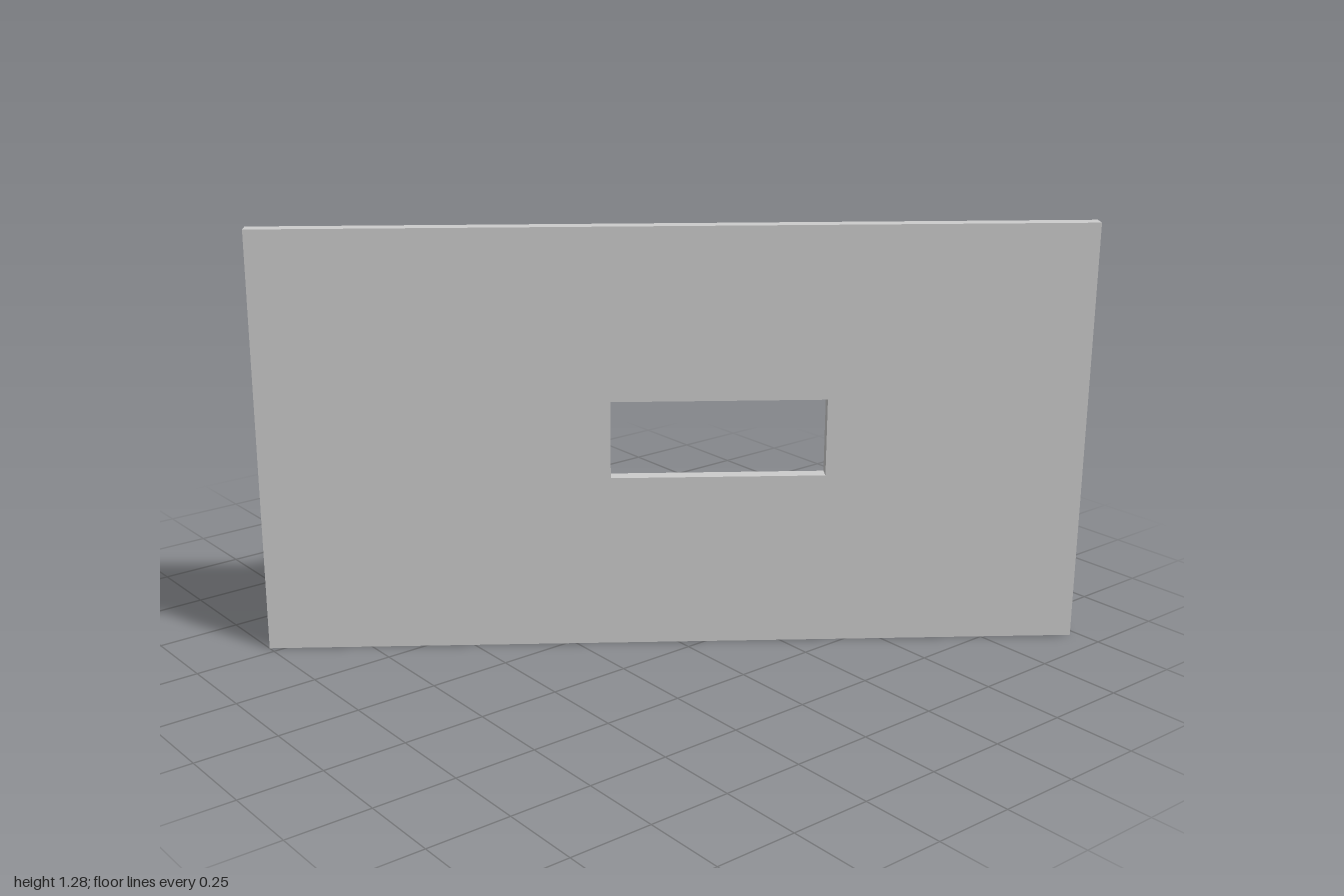
import * as THREE from 'three';

const TABLE_Y = 0.543;
const WALL = { length: 2.444, height: 1.285, depth: 0.043 };

export function createModel() {
  const model = new THREE.Group();
  const grey = new THREE.MeshStandardMaterial({ color: 0xcccccc, side: THREE.DoubleSide });
  grey.name = 'plain grey';

  // Everything is laid out along the wall, then turned with it
  const room = new THREE.Group();
  room.name = 'wallAndShelf';
  room.rotation.y = -0.6304;
  room.position.z = 0.175;
  model.add(room);

  const add = (name, geometry, x, y, z, parent = room) => {
    const mesh = new THREE.Mesh(geometry, grey);
    mesh.name = name;
    mesh.position.set(x, y, z);
    parent.add(mesh);
    return mesh;
  };
  const lathe = (points, sides = 32) =>
    new THREE.LatheGeometry(points.map(([r, y]) => new THREE.Vector2(r, y)), sides);
  const tube = (points, radius, segments = 24) =>
    new THREE.TubeGeometry(
      new THREE.CatmullRomCurve3(points.map((p) => new THREE.Vector3(...p))), segments, radius, 8);

  // Open-topped vessel with sharp rims: outer wall, rim, inner wall and floors
  const vessel = (name, r, h, t, x, z) => {
    const group = new THREE.Group();
    group.name = name;
    group.position.set(x, TABLE_Y + 0.001, z);
    room.add(group);
    add(name + 'Outside', lathe([[r, 0], [r, h]]), 0, 0, 0, group);
    add(name + 'Rim', lathe([[r, h], [r - t, h]]), 0, 0, 0, group);
    add(name + 'Inside', lathe([[r - t, h], [r - t, t]]), 0, 0, 0, group);
    add(name + 'Floor', lathe([[r - t, t], [0, t]]), 0, 0, 0, group);
    add(name + 'Base', lathe([[0, 0], [r, 0]]), 0, 0, 0, group);
    return group;
  };

  // Wall with a window opening
  const outline = new THREE.Shape();
  const w = WALL.length / 2;
  outline.moveTo(-w, 0).lineTo(w, 0).lineTo(w, WALL.height).lineTo(-w, WALL.height).closePath();
  const opening = new THREE.Path();
  opening.moveTo(-0.188, 0.53).lineTo(-0.188, 0.765).lineTo(0.45, 0.765).lineTo(0.45, 0.53).closePath();
  outline.holes.push(opening);
  add('wall', new THREE.ExtrudeGeometry(outline, { depth: WALL.depth, bevelEnabled: false }),
    0, 0, -WALL.depth / 2);

  // Thin table top behind the wall
  const top = new THREE.PlaneGeometry(0.716, 0.617).rotateX(-Math.PI / 2);
  add('tableTop', top, -0.621, TABLE_Y, -0.3365);

  // Mug and its handle
  const mug = vessel('mug', 0.039, 0.112, 0.004, -0.59, -0.415);
  const handle = add('mugHandle', tube([
    [0.036, 0.094, 0], [0.058, 0.099, 0], [0.077, 0.085, 0],
    [0.076, 0.058, 0], [0.06, 0.036, 0], [0.036, 0.026, 0],
  ], 0.0055), 0, 0, 0, mug);
  handle.rotation.y = Math.atan2(0.08, 0.022);

  // Small cup
  vessel('cup', 0.0235, 0.08, 0.003, -0.656, -0.26);

  // Spoon lying on the table: handle along local x, bowl at the far end
  const spoon = new THREE.Group();
  spoon.name = 'spoon';
  spoon.position.set(-0.757, TABLE_Y, -0.181);
  spoon.rotation.y = Math.atan2(0.219, 0.038);
  room.add(spoon);
  add('spoonHandle', tube([
    [0, 0.003, 0], [0.04, 0.004, 0], [0.11, 0.01, 0], [0.165, 0.009, 0], [0.197, 0.008, 0],
  ], 0.004).scale(1, 0.6, 1), 0, 0, 0, spoon);
  const bowl = new THREE.SphereGeometry(1, 20, 8, 0, Math.PI * 2, Math.PI / 2, Math.PI / 2);
  add('spoonBowl', bowl.scale(0.028, 0.009, 0.017), 0.222, 0.01, 0, spoon);

  // Wall candle holder: plate, curved arm, drip dish and candle
  const sconce = new THREE.Group();
  sconce.name = 'candleHolder';
  sconce.position.set(-0.716, 0, 0);
  room.add(sconce);
  add('wallPlate', new THREE.BoxGeometry(0.036, 0.018, 0.007), 0, 0.586, -0.025, sconce);
  add('arm', tube([[0, 0.586, -0.025], [0, 0.58, -0.045], [0, 0.583, -0.06], [0, 0.598, -0.066]],
    0.0045), 0, 0, 0, sconce);
  add('dripDish', lathe([[0, 0.594], [0.01, 0.595], [0.016, 0.606], [0.013, 0.606], [0, 0.6]], 20),
    0, 0, -0.066, sconce);
  add('candle', new THREE.CylinderGeometry(0.0125, 0.0125, 0.117, 20), 0, 0.6585, -0.066, sconce);

  return model;
}
